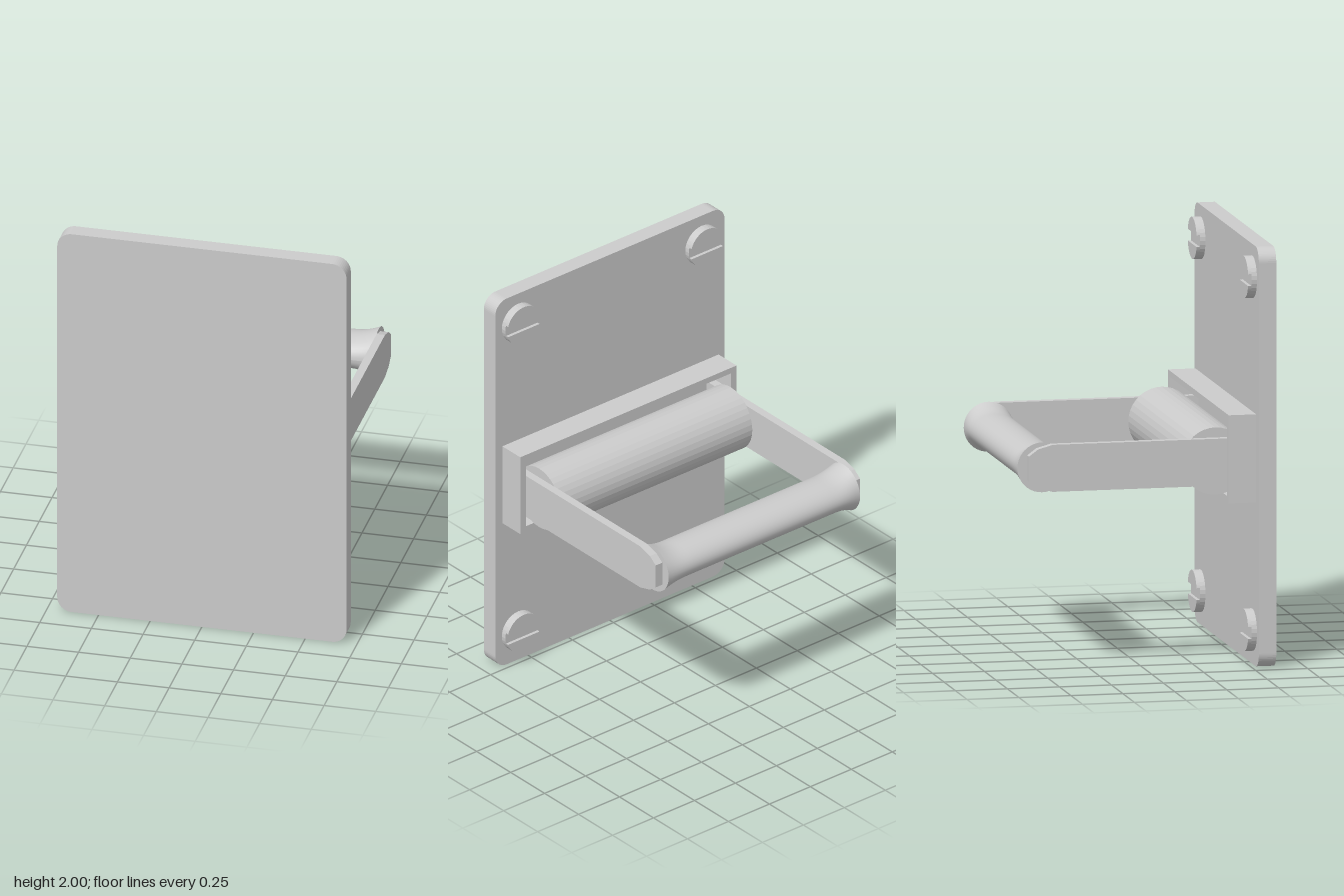
import * as THREE from 'three';

const smooth = new THREE.MeshStandardMaterial({ color: 0xcccccc, side: THREE.DoubleSide });
const flat = new THREE.MeshStandardMaterial({ color: 0xcccccc, flatShading: true });

const AXIS_Y = 0.977; // height of the roller and handle

function add(parent, name, geometry, material = flat) {
  const mesh = new THREE.Mesh(geometry, material);
  mesh.name = name;
  parent.add(mesh);
  return mesh;
}

function extrude(shape, depth, curveSegments = 6) {
  return new THREE.ExtrudeGeometry(shape, { depth, bevelEnabled: false, curveSegments });
}

function roundedRect(w, h, r) {
  const x = w / 2, y = h / 2, s = new THREE.Shape();
  s.absarc(x - r, y - r, r, 0, Math.PI / 2);
  s.absarc(-x + r, y - r, r, Math.PI / 2, Math.PI);
  s.absarc(-x + r, -y + r, r, Math.PI, Math.PI * 1.5);
  s.absarc(x - r, -y + r, r, Math.PI * 1.5, Math.PI * 2);
  s.closePath();
  return s;
}

function rect(w, h) {
  const x = w / 2, y = h / 2;
  return [[-x, -y], [x, -y], [x, y], [-x, y]].map(p => new THREE.Vector2(...p));
}

// Slotted screw head: a disc with two raised segments
function screw() {
  const group = new THREE.Group();
  group.name = 'screw';
  const r = 0.1, slot = 0.028, a = Math.asin(slot / r);
  const disc = new THREE.CylinderGeometry(r, r, 0.026, 32).rotateX(Math.PI / 2);
  add(group, 'screwBase', disc).position.z = 0.513;
  for (const turn of [0, Math.PI]) {
    const segment = new THREE.Shape();
    segment.absarc(0, 0, r, a, Math.PI - a);
    segment.closePath();
    const half = add(group, 'screwHeadHalf', extrude(segment, 0.017, 16));
    half.position.z = 0.484;
    half.rotation.z = turn;
  }
  return group;
}

// Handle: oval in the middle, flaring to a full circle at both ends
function handleGeometry(length, radius, waist) {
  const geo = new THREE.CylinderGeometry(radius, radius, length, 40, 48);
  geo.rotateZ(Math.PI / 2);
  const p = geo.attributes.position;
  for (let i = 0; i < p.count; i++) {
    const t = Math.max(0, (Math.abs(p.getX(i)) - (length / 2 - 0.13)) / 0.13);
    p.setY(i, p.getY(i) * (waist + (1 - waist) * t * t));
  }
  geo.computeVertexNormals();
  return geo;
}

export function createModel() {
  const model = new THREE.Group();
  model.name = 'rollerBracket';

  // Wall plate
  add(model, 'plate', extrude(roundedRect(1.4, 2, 0.07), 0.084)).position.set(0, 1, 0.526);

  // Screws at the four corners
  for (const x of [-0.56, 0.56]) {
    for (const y of [0.163, 1.845]) {
      const s = screw();
      s.position.set(x, y, 0);
      model.add(s);
    }
  }

  // Open rectangular frame
  const frame = new THREE.Shape(rect(1.32, 0.42));
  frame.holes.push(new THREE.Path(rect(1.25, 0.36)));
  add(model, 'frame', extrude(frame, 0.132)).position.set(0, 0.995, 0.39);

  // Roller
  const roller = add(model, 'roller', new THREE.CylinderGeometry(0.16, 0.16, 1.17, 36));
  roller.rotation.z = Math.PI / 2;
  roller.position.set(0, AXIS_Y, 0.342);

  // Arms with tapered tips, drawn in (-z, y)
  const profile = [[-0.52, -0.112], [0.45, -0.112], [0.52, -0.092], [0.563, -0.06],
    [0.563, 0.06], [0.52, 0.092], [0.45, 0.112], [-0.52, 0.112]];
  const armShape = new THREE.Shape(profile.map(q => new THREE.Vector2(...q)));
  for (const side of [-1, 1]) {
    const geo = extrude(armShape, 0.04).translate(0, 0, -0.02).rotateY(Math.PI / 2);
    add(model, side > 0 ? 'leftArm' : 'rightArm', geo).position.set(side * 0.604, AXIS_Y, 0);
  }

  // Handle between the arm tips
  add(model, 'handle', handleGeometry(1.168, 0.119, 0.7), smooth)
    .position.set(0, AXIS_Y, -0.491);

  return model;
}
